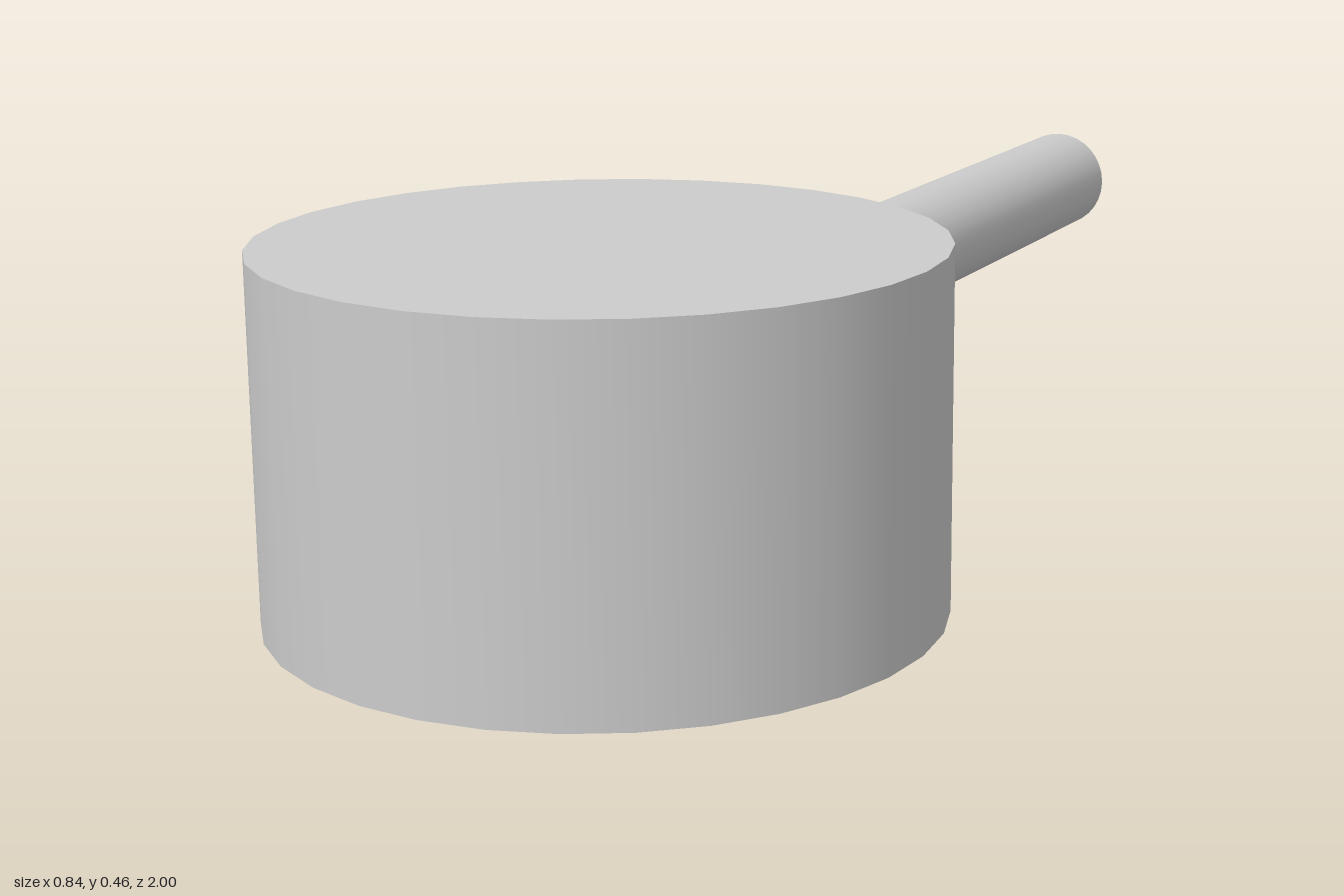
import * as THREE from 'three';

export function createModel() {
  const group = new THREE.Group();
  const material = new THREE.MeshStandardMaterial({ color: 0xcccccc, side: THREE.DoubleSide });
  const radius = 0.42, height = 0.457, centreZ = 0.58, sides = 32;

  const add = (name, geometry, x, y, z) => {
    const mesh = new THREE.Mesh(geometry, material);
    mesh.name = name;
    mesh.position.set(x, y, z);
    group.add(mesh);
  };

  // Thin round wall, open at the bottom
  add('wall', new THREE.CylinderGeometry(radius, radius, height, sides, 1, true), 0, height / 2, centreZ);

  // Flat disc closing the top
  add('topDisc', new THREE.CircleGeometry(radius, sides).rotateX(-Math.PI / 2), 0, height, centreZ);

  // Straight round handle, just entering the back of the wall
  const handleStart = 0.17, handleEnd = -1;
  const length = handleStart - handleEnd;
  add('handle', new THREE.CylinderGeometry(0.079, 0.079, length, sides).rotateX(Math.PI / 2),
    0, 0.28, (handleStart + handleEnd) / 2);

  return group;
}
